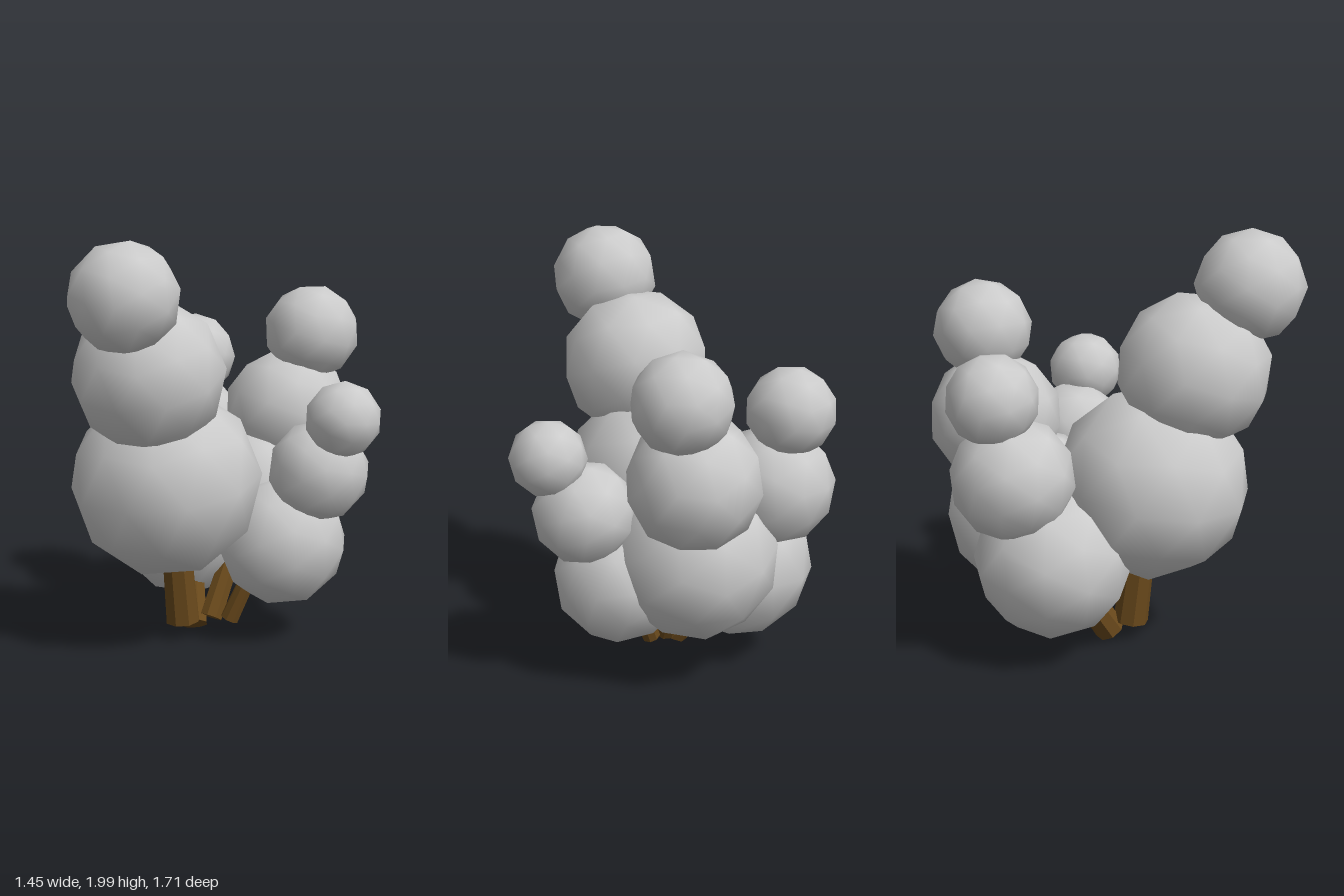
import * as THREE from 'three';

// One entry per branch: trunk ends with radius, then foliage balls [x, y, z, radius]
const BRANCHES = [
  { name: 'frontBranch', from: [-0.225, 0.1, 0.06], to: [-0.24, 0.55, 0.11], r: 0.085,
    balls: [[-0.265, 0.82, 0.155, 0.462], [-0.265, 1.36, 0.345, 0.365], [-0.265, 1.75, 0.6, 0.26]] },
  { name: 'leftBranch', from: [-0.035, 0.09, -0.08], to: [0.09, 0.38, -0.11], r: 0.046,
    balls: [[0.21, 0.5, -0.15, 0.318], [0.405, 0.865, -0.135, 0.245], [0.55, 1.14, -0.06, 0.182]] },
  { name: 'backLeftBranch', from: [-0.13, 0.09, -0.07], to: [-0.06, 0.5, -0.28], r: 0.058,
    balls: [[-0.035, 0.63, -0.41, 0.397], [0.09, 1.06, -0.55, 0.32], [0.2, 1.465, -0.595, 0.238]] },
  { name: 'backRightBranch', from: [-0.215, 0.053, -0.04], to: [-0.3, 0.35, -0.22], r: 0.075,
    balls: [[-0.36, 0.5, -0.325, 0.375], [-0.43, 0.93, -0.515, 0.29], [-0.445, 1.31, -0.6, 0.214]] },
];

const UP = new THREE.Vector3(0, 1, 0);

export function createModel() {
  const model = new THREE.Group();
  model.name = 'tree';
  const leafMat = new THREE.MeshStandardMaterial({ color: 0xcccccc });
  const woodMat = new THREE.MeshStandardMaterial({ color: 0x6b4a1c, flatShading: true });

  // Low-poly ball with smooth normals and one vertex pointing up
  const ballGeo = new THREE.IcosahedronGeometry(1, 1);
  ballGeo.rotateZ(-Math.atan(2 / (1 + Math.sqrt(5))));

  for (const b of BRANCHES) {
    const branch = new THREE.Group();
    branch.name = b.name;

    // Trunk, running up into the lowest ball
    const start = new THREE.Vector3(...b.from);
    const end = new THREE.Vector3(...b.to);
    const dir = end.clone().sub(start);
    const trunk = new THREE.Mesh(
      new THREE.CylinderGeometry(b.r * 0.85, b.r, dir.length(), 8), woodMat);
    trunk.name = 'trunk';
    trunk.position.copy(start).add(end).multiplyScalar(0.5);
    trunk.quaternion.setFromUnitVectors(UP, dir.normalize());
    branch.add(trunk);

    // Three shrinking foliage balls, each leaning along the branch
    let below = start;
    b.balls.forEach(([x, y, z, r], i) => {
      const ball = new THREE.Mesh(ballGeo, leafMat);
      ball.name = ['lowerFoliage', 'middleFoliage', 'topFoliage'][i];
      ball.position.set(x, y, z);
      ball.scale.setScalar(r);
      ball.quaternion.setFromUnitVectors(UP, ball.position.clone().sub(below).normalize());
      below = ball.position;
      branch.add(ball);
    });
    model.add(branch);
  }
  return model;
}
